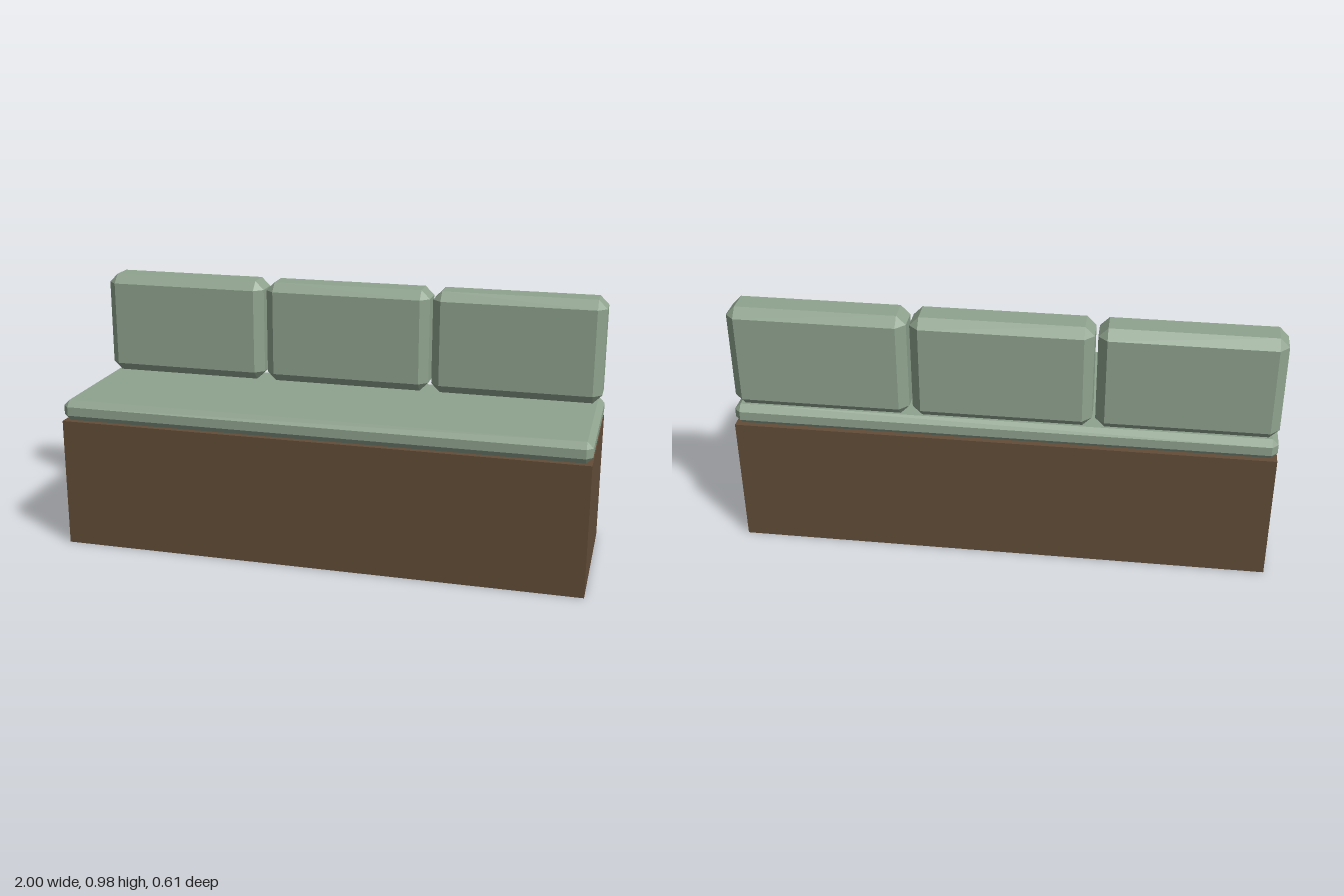
import * as THREE from 'three';
import { ConvexGeometry } from 'three/addons/geometries/ConvexGeometry.js';

// Box with chamfered edges and triangular corners
function chamferBox(w, h, d, c) {
  const points = [];
  for (const sx of [-1, 1]) for (const sy of [-1, 1]) for (const sz of [-1, 1]) {
    for (let axis = 0; axis < 3; axis++) {
      const half = [w / 2, h / 2, d / 2].map((v, i) => (i === axis ? v : v - c));
      points.push(new THREE.Vector3(sx * half[0], sy * half[1], sz * half[2]));
    }
  }
  return new ConvexGeometry(points);
}

export function createModel() {
  const group = new THREE.Group();
  group.name = 'bench';

  const wood = new THREE.MeshStandardMaterial({ color: 0x634d38 });
  wood.name = 'brown wood';
  const fabric = new THREE.MeshStandardMaterial({ color: 0x8fa38e });
  fabric.name = 'sage fabric';

  const add = (name, geometry, material, x, y, z) => {
    const mesh = new THREE.Mesh(geometry, material);
    mesh.name = name;
    mesh.position.set(x, y, z);
    group.add(mesh);
  };

  // Solid base
  add('base', new THREE.BoxGeometry(2, 0.5, 0.61), wood, 0, 0.25, 0);

  // Seat cushion
  add('seatCushion', chamferBox(2, 0.08, 0.61, 0.023), fabric, 0, 0.54, 0);

  // Three back cushions along the rear edge
  const back = chamferBox(0.656, 0.4, 0.154, 0.034);
  ['Right', 'Middle', 'Left'].forEach((side, i) => {
    add('backCushion' + side, back, fabric, -0.67 + i * 0.668, 0.78, -0.228);
  });

  return group;
}
